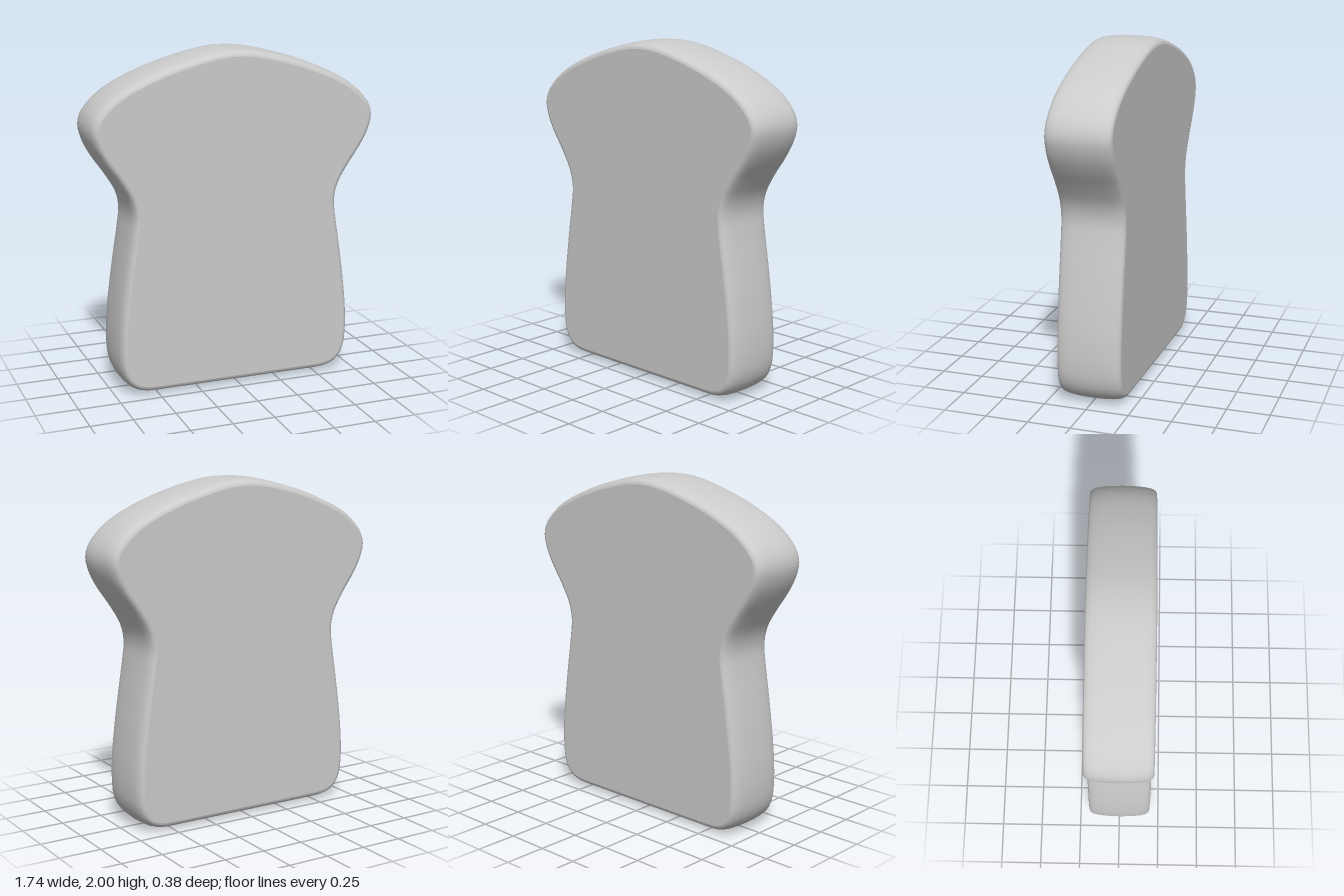
import * as THREE from 'three';

// Right half of the slice outline, from bottom centre up to the crown
const HALF = [
  [0, 0], [0.3, 0], [0.5, 0], [0.58, 0.006], [0.645, 0.03], [0.695, 0.08], [0.722, 0.15],
  [0.731, 0.24], [0.728, 0.38], [0.707, 0.58], [0.678, 0.78], [0.648, 0.97], [0.638, 1.07],
  [0.657, 1.16], [0.72, 1.27], [0.8, 1.385], [0.85, 1.48], [0.87, 1.57], [0.85, 1.645],
  [0.79, 1.72], [0.7, 1.79], [0.56, 1.86], [0.4, 1.92], [0.2, 1.975], [0.08, 1.996], [0, 2],
];

// Rim cross-section: depth and how far the outline is drawn in there
const RIM = [[0, 0], [0.07, 0.002], [0.125, 0.007], [0.16, 0.014], [0.18, 0.025], [0.187, 0.034], [0.19, 0.045]];

function outline(count) {
  const left = HALF.slice(1, -1).reverse().map(([x, y]) => [-x, y]);
  const points = [...HALF, ...left].map(([x, y]) => new THREE.Vector3(x, y, 0));
  const curve = new THREE.CatmullRomCurve3(points, true, 'centripetal');
  return Array.from({ length: count }, (_, i) => {
    const p = curve.getPointAt(i / count);
    const t = curve.getTangentAt(i / count);
    return { x: p.x, y: Math.max(p.y, 0), nx: t.y, ny: -t.x };
  });
}

const inset = (loop, d) => loop.map((p) => new THREE.Vector2(p.x - p.nx * d, p.y - p.ny * d));

// Smooth crust lofted through the inset outlines, back to front
function crustGeometry(loop) {
  const back = RIM.slice(1).reverse().map(([z, d]) => [-z, d]);
  const layers = [...back, ...RIM];
  const n = loop.length;
  const positions = [];
  const index = [];
  layers.forEach(([z, d], j) => {
    inset(loop, d).forEach((p, i) => {
      positions.push(p.x, p.y, z);
      if (j === layers.length - 1) return;
      const a = j * n + i;
      const b = j * n + ((i + 1) % n);
      index.push(a, b, b + n, a, b + n, a + n);
    });
  });
  const geometry = new THREE.BufferGeometry();
  geometry.setAttribute('position', new THREE.Float32BufferAttribute(positions, 3));
  geometry.setIndex(index);
  geometry.computeVertexNormals();
  return geometry;
}

export function createModel() {
  const group = new THREE.Group();
  group.name = 'breadSlice';
  const material = new THREE.MeshStandardMaterial({ color: 0xcccccc });
  const loop = outline(200);

  const crust = new THREE.Mesh(crustGeometry(loop), material);
  crust.name = 'crust';
  group.add(crust);

  // Flat cut faces
  const [depth, drawIn] = RIM[RIM.length - 1];
  const face = new THREE.ShapeGeometry(new THREE.Shape(inset(loop, drawIn)));
  for (const side of [1, -1]) {
    const mesh = new THREE.Mesh(face, material);
    mesh.name = side > 0 ? 'frontFace' : 'backFace';
    mesh.position.z = side * depth;
    if (side < 0) mesh.rotation.y = Math.PI;
    group.add(mesh);
  }
  return group;
}
